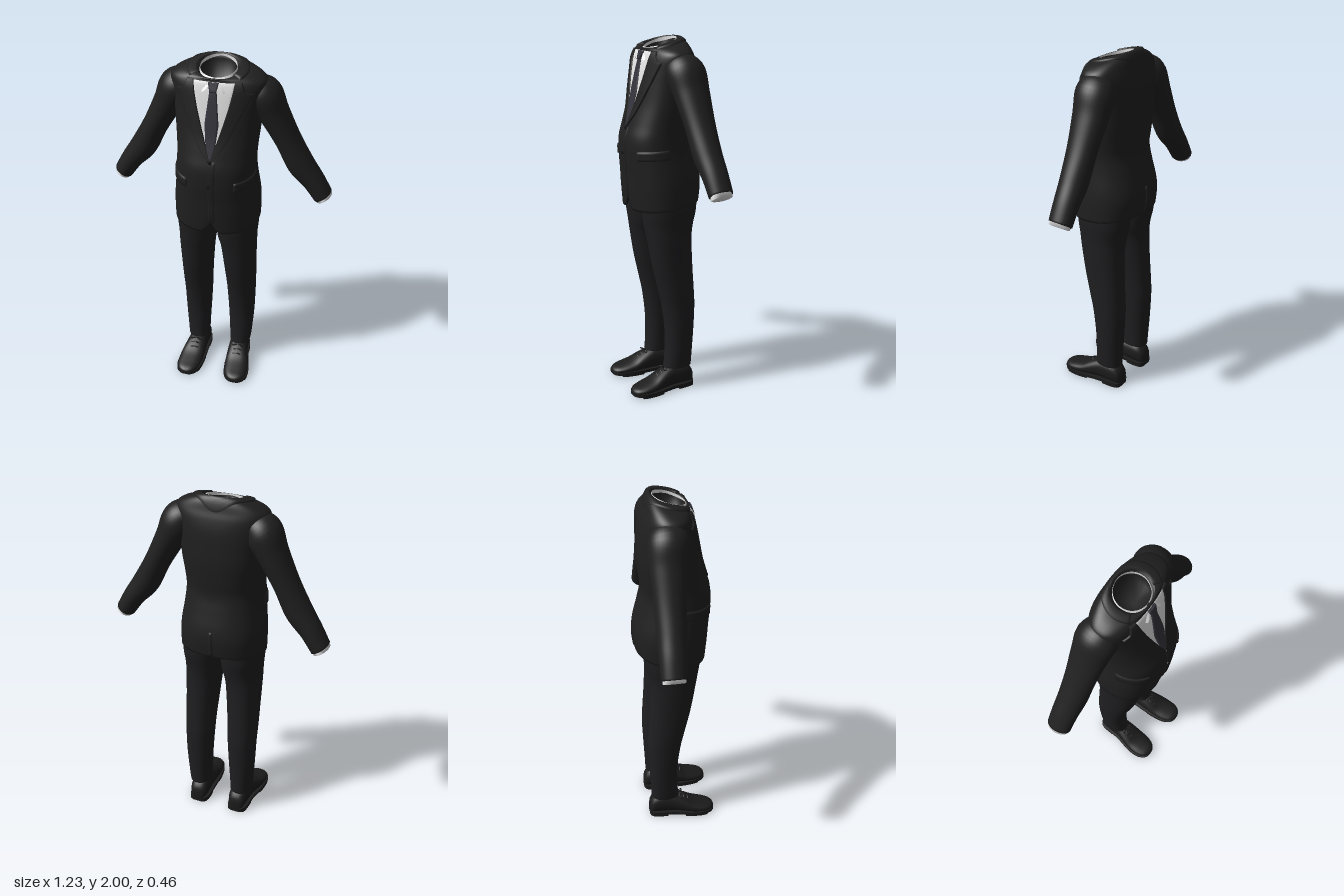
import * as THREE from 'three';

const mat = (name, color) => {
  const m = new THREE.MeshStandardMaterial({ color, side: THREE.DoubleSide });
  m.name = name;
  return m;
};
const V = (x, y, z) => new THREE.Vector3(x, y, z);
const clamp = THREE.MathUtils.clamp, lerp = THREE.MathUtils.lerp;
const pow = (v, e) => Math.sign(v) * Math.abs(v) ** e;

// Catmull-Rom resampling of rows of numbers
function smooth(rows, steps = 5) {
  const out = [], n = rows.length - 1;
  for (let k = 0; k <= n * steps; k++) {
    const i = Math.min(Math.floor(k / steps), n - 1), t = k / steps - i;
    const a = rows[Math.max(i - 1, 0)], b = rows[i], c = rows[i + 1], d = rows[Math.min(i + 2, n)];
    out.push(b.map((p, q) => p + 0.5 * t * (c[q] - a[q] + t * (2 * a[q] - 5 * p + 4 * c[q] - d[q]
      + t * (3 * (p - c[q]) + d[q] - a[q])))));
  }
  return out;
}

// Surface over a grid of points; rings are closed and may be capped
function skin(rings, closed = true, cap = false) {
  const w = rings[0].length, pts = rings.flat(), idx = [];
  for (let i = 0; i < rings.length - 1; i++) for (let j = 0; j < (closed ? w : w - 1); j++) {
    const k = (j + 1) % w, a = i * w + j, b = i * w + k;
    idx.push(a, b, b + w, a, b + w, a + w);
  }
  if (cap) [0, rings.length - 1].forEach((r, end) => {
    const c = rings[r].reduce((s, p) => s.add(p), V(0, 0, 0)).divideScalar(w);
    pts.push(c);
    for (let j = 0; j < w; j++) {
      const a = r * w + j, b = r * w + (j + 1) % w;
      idx.push(pts.length - 1, end ? a : b, end ? b : a);
    }
  });
  const g = new THREE.BufferGeometry().setFromPoints(pts);
  g.setIndex(idx);
  g.computeVertexNormals();
  return g;
}

const around = (n, f) => Array.from({ length: n }, (_, i) => f(i / n * Math.PI * 2));

// Horizontal slice: [height, centre x, half width, front z, back z, tilt]
const slice = ([y, xc, hw, zf, zb, k = 0], n, e) => around(n, a => {
  const z = (zf + zb) / 2 + (zf - zb) / 2 * pow(Math.cos(a), e);
  return V(xc + hw * pow(Math.sin(a), e), y - k * z, z);
});

function mirrored(g) {
  const m = g.clone().scale(-1, 1, 1);
  const i = m.index ? Array.from(m.index.array) : Array.from({ length: m.attributes.position.count }, (_, k) => k);
  for (let k = 0; k < i.length; k += 3) [i[k], i[k + 1]] = [i[k + 1], i[k]];
  m.setIndex(i);
  return m;
}

export function createModel() {
  const root = new THREE.Group();
  root.name = 'suit';
  const cloth = mat('jacket cloth', 0x202020), wool = mat('trouser cloth', 0x1f1f21), leather = mat('shoe leather', 0x1c1c1c);
  const white = mat('shirt white', 0xe2e2e2), silk = mat('tie silk', 0x35343d), horn = mat('button', 0x141414);
  const add = (name, g, m) => {
    const mesh = new THREE.Mesh(g, m);
    mesh.name = name;
    root.add(mesh);
    return mesh;
  };
  const pair = (name, g, m) => {
    add(name + 'Left', g, m);
    add(name + 'Right', mirrored(g), m);
  };

  // Jacket body: hem turned in below, neck turned in above
  const rows = [[1.15, 0, .2, .13, -.18, .13], [1.1, 0, .225, .16, -.205, .13],
    ...smooth([[1.097, 0, .236, .174, -.215, .13], [1.2, 0, .236, .185, -.225, .05], [1.28, 0, .23, .191, -.219, 0],
      [1.38, 0, .217, .2, -.195, 0], [1.47, 0, .211, .198, -.176, 0], [1.55, 0, .213, .175, -.182, 0],
      [1.65, 0, .222, .146, -.19, 0], [1.75, 0, .23, .126, -.187, 0], [1.83, 0, .242, .11, -.18, 0],
      [1.89, 0, .252, .096, -.167, 0], [1.925, 0, .242, .085, -.152, .05], [1.95, 0, .195, .08, -.14, .15],
      [1.963, 0, .14, .08, -.125, .25], [1.965, 0, .106, .074, -.11, .27]]),
    [1.95, 0, .09, .058, -.098, .27], [1.88, 0, .09, .055, -.09, 0]];
  const bodyRings = rows.map(r => slice(r, 72, .85).map(p => {
    // Rounded cutaway at the front of the hem
    if (p.z > 0) p.y += .07 * Math.exp(-((p.x / .028) ** 2)) * clamp(1 - (r[0] - 1.097) / .1, 0, 1);
    return p;
  }));
  bodyRings.push(bodyRings.at(-1).map(p => V(p.x * .02, p.y, p.z * .02)));
  const body = add('jacketBody', skin(bodyRings), cloth);
  body.updateMatrixWorld();

  // Thin pieces laid on the jacket body by casting rays at it
  const caster = new THREE.Raycaster();
  let last = V(0, 0, 0);
  const cast = (o, d) => {
    caster.set(o, d);
    const hit = caster.intersectObject(body)[0];
    if (hit) last = hit.point;
    return last.clone();
  };
  const panel = (ray, n, m, off) => {
    const grid = [];
    for (let j = -1; j <= n + 1; j++) {
      const line = [];
      for (let i = -1; i <= m + 1; i++) {
        const edge = i < 0 || j < 0 || i > m || j > n;
        const [o, d] = ray(clamp(i / m, 0, 1), clamp(j / n, 0, 1));
        line.push(cast(o, d).addScaledVector(d, edge ? .002 : -off));
      }
      grid.push(line);
    }
    return skin(grid, false);
  };
  // Rows [height, x from, x to], seen from the front (side 1) or the back (side -1)
  const strip = (r, side = 1) => (s, t) => {
    const y = lerp(r[0][0], r.at(-1)[0], t);
    let i = 0;
    while (i < r.length - 2 && y > r[i + 1][0]) i++;
    const q = (y - r[i][0]) / (r[i + 1][0] - r[i][0]);
    const x = lerp(lerp(r[i][1], r[i + 1][1], q), lerp(r[i][2], r[i + 1][2], q), s);
    return [V(side * x, y, side), V(0, 0, -side)];
  };

  add('shirtFront', panel(strip([[1.535, -.006, .006], [1.6, -.03, .03], [1.7, -.06, .06], [1.8, -.087, .087],
    [1.93, -.108, .108]]), 24, 14, .003), white);
  add('tie', panel(strip([[1.535, -.003, .003], [1.6, -.024, .024], [1.72, -.036, .036], [1.9, -.017, .017],
    [1.93, -.02, .02]]), 24, 6, .008), silk);
  add('tieKnot', panel(strip([[1.885, -.016, .016], [1.93, -.027, .027]]), 6, 6, .014), silk);
  pair('lapel', panel(strip([[1.53, 0, .008], [1.6, .022, .062], [1.7, .052, .113], [1.8, .08, .16], [1.878, .097, .195],
    [1.888, .099, .158], [1.935, .106, .14]]), 50, 10, .009), cloth);
  add('frontOverlap', panel(strip([[1.15, -.006, .02], [1.53, -.006, .03]]), 20, 4, .004), cloth);
  add('backVent', panel(strip([[1.135, -.012, .012], [1.28, -.008, .008]], -1), 10, 3, .005), cloth);

  // Jacket collar round the back of the neck
  add('jacketCollar', panel((s, t) => {
    const a = lerp(.95, Math.PI * 2 - .95, s), r = lerp(.05, 0, t);
    return [V((.108 + r) * Math.sin(a), 3, -.018 + (.094 + r * .8) * Math.cos(a)), V(0, -1, 0)];
  }, 5, 40, .008), cloth);

  // Pocket flaps wrap from front to side
  pair('pocketFlap', panel((s, t) => {
    const a = lerp(.62, 1.45, s), y = lerp(1.362, 1.412, t) + s * .012;
    const d = V(-Math.sin(a), 0, -Math.cos(a));
    return [V(0, y, 0).addScaledVector(d, -1), d];
  }, 4, 14, .008), cloth);

  // Buttons
  [[.004, 1.525], [-.002, 1.39]].forEach(([x, y]) => {
    const b = add('button', new THREE.CylinderGeometry(.009, .009, .006, 16).rotateX(Math.PI / 2), horn);
    b.position.copy(cast(V(x, y, 1), V(0, 0, -1))).add(V(0, 0, .006));
  });

  // Shirt collar: standing band and folded leaf with two points
  const collarTop = a => V(.094 * Math.sin(a), 1.974 - .026 * Math.cos(a), -.02 + .086 * Math.cos(a));
  add('collarBand', skin([around(48, a => collarTop(a).add(V(0, -.05, 0))), around(48, collarTop)]), white);
  const leaf = [0, .5, 1].map(t => Array.from({ length: 41 }, (_, i) => {
    const a = lerp(.1, Math.PI * 2 - .1, i / 40), b = Math.min(a, Math.PI * 2 - a);
    const w = THREE.MathUtils.smoothstep(b, .05, .62), front = clamp(1.6 - b, 0, 1);
    const drop = (.022 + .05 * w) * lerp(.45, 1, front);
    const low = V(.103 * Math.sin(a), collarTop(a).y - drop, -.02 + lerp(.092, .106 + .046 * w, front) * Math.cos(a));
    return collarTop(a).lerp(low, 1 - t);
  }));
  add('collarLeaf', skin(leaf, false), white);

  // Sleeves and cuffs: [x, y, z, radius across, radius in z]
  const arm = smooth([[.17, 1.865, -.05, .07, .085], [.225, 1.825, -.056, .098, .108], [.283, 1.722, -.065, .08, .098],
    [.362, 1.573, -.072, .069, .083], [.434, 1.435, -.077, .073, .077], [.508, 1.338, -.083, .061, .07],
    [.565, 1.248, -.087, .054, .066]], 6);
  const tube = path => path.map(([x, y, z, r, rz], i) => {
    const p = path[Math.max(i - 1, 0)], q = path[Math.min(i + 1, path.length - 1)];
    const d = V(q[0] - p[0], q[1] - p[1], 0).normalize();
    return around(36, a => V(x - d.y * r * Math.cos(a), y + d.x * r * Math.cos(a), z + rz * Math.sin(a)));
  });
  pair('sleeve', skin(tube([...arm, [.566, 1.247, -.087, .047, .058]])), cloth);
  pair('cuff', skin(tube([[.535, 1.295, -.086, .045, .056], [.574, 1.234, -.087, .048, .059],
    [.575, 1.232, -.087, .045, .056], [.545, 1.28, -.086, .04, .05]]), true, true), white);

  // Trouser legs
  const leg = smooth([[.135, .131, .063, .015, -.15], [.2, .133, .067, .008, -.152], [.35, .134, .076, .006, -.159],
    [.5, .132, .082, .024, -.165], [.6, .131, .086, .045, -.16], [.75, .126, .092, .08, -.151],
    [.9, .12, .101, .106, -.146], [.98, .111, .111, .12, -.155], [1.07, .112, .116, .132, -.174],
    [1.18, .112, .114, .135, -.18]]);
  pair('trouserLeg', skin([[.16, .131, .05, 0, -.14], [.134, .131, .059, .01, -.146], ...leg].map(r => slice(r, 40, .9)), true, true), wool);

  // Shoes: stations [z, centre x, half width, top]
  const last0 = [[-.163, .125, .022, .07], [-.15, .125, .045, .105], [-.11, .125, .056, .14], [-.04, .128, .058, .142],
    [0, .131, .061, .132], [.05, .137, .067, .108], [.1, .143, .071, .08], [.16, .148, .067, .062],
    [.2, .15, .052, .052], [.22, .15, .031, .042], [.227, .15, .012, .032]];
  const stations = smooth(last0, 4);
  pair('shoeUpper', skin(stations.map(([z, x, w, top]) => around(32, a =>
    V(x + w * pow(Math.cos(a), .8), (top + .012) / 2 + (top - .012) / 2 * pow(Math.sin(a), .9), z))), true, true), leather);
  const slab = (st, bottom, height) => {
    const side = s => st.map(([z, x, w]) => new THREE.Vector2(x + s * (w + .005), z));
    const shape = new THREE.Shape([...side(1), ...side(-1).reverse()]);
    return new THREE.ExtrudeGeometry(shape, { depth: height, bevelEnabled: false }).rotateX(Math.PI / 2).translate(0, bottom + height, 0);
  };
  pair('shoeSole', slab(stations, .01, .018), leather);
  pair('shoeHeel', slab(stations.filter(s => s[0] < -.04), 0, .014), leather);
  pair('shoeTread', slab(stations.filter(s => s[0] > .04 && s[0] < .19), .002, .01), leather);

  // Laces and bow
  [[.015, .129], [.04, .117], [.065, .103]].forEach(([z, y]) => {
    const c = new THREE.CatmullRomCurve3([V(.1, y - .016, z), V(.135, y + .001, z + .004), V(.17, y - .016, z)]);
    pair('lace', new THREE.TubeGeometry(c, 10, .004, 6), leather);
  });
  [-1, 1].forEach(s => pair('bowLoop', new THREE.TorusGeometry(.013, .003, 6, 16)
    .rotateX(1.1).rotateZ(-s * .4).translate(.133 + s * .02, .13, .024), leather));
  return root;
}
